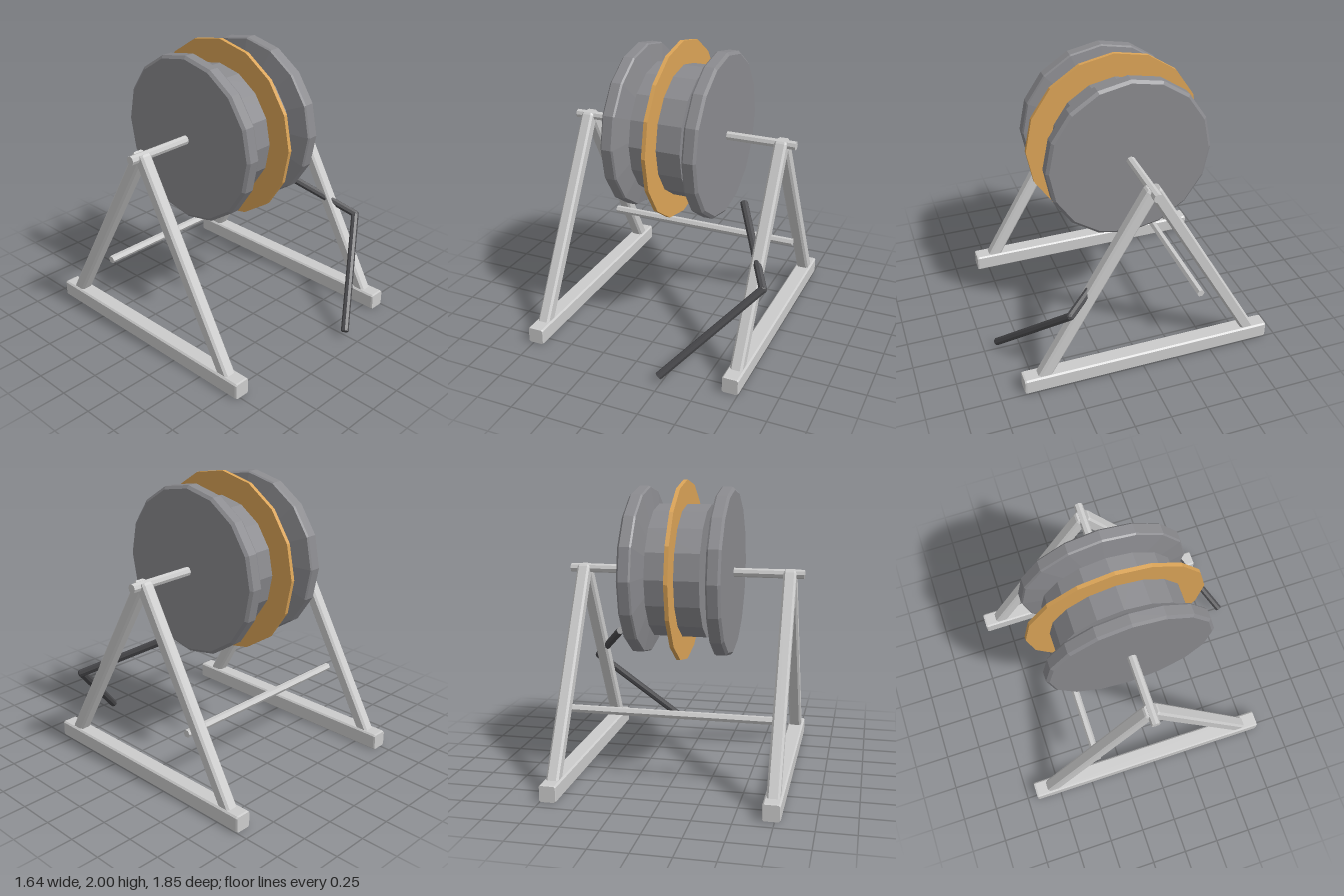
import * as THREE from 'three';

const paint = (color) => new THREE.MeshStandardMaterial({ color, flatShading: true });
const grey = paint(0xcccccc), drumGrey = paint(0x8a8a8e), darkGrey = paint(0x4c4c4f), amber = paint(0xdba457);

const AXLE_Y = 1.385, AXLE_Z = -0.05, MID_X = -0.018;

// Bar with chamfered edges, centred, running along z
function chamferedBar(w, h, length, c) {
  const x = w / 2 - c, y = h / 2 - c, s = new THREE.Shape();
  const k = c * 0.3;
  s.moveTo(-x, -y - c + k).lineTo(x, -y - c + k).lineTo(x + c - k, -y).lineTo(x + c - k, y)
    .lineTo(x, y + c - k).lineTo(-x, y + c - k).lineTo(-x - c + k, y).lineTo(-x - c + k, -y).closePath();
  const g = new THREE.ExtrudeGeometry(s, {
    depth: length - 2 * c, bevelEnabled: true, bevelThickness: c, bevelSize: k, bevelSegments: 1,
  });
  return g.translate(0, 0, -length / 2 + c);
}

export function createModel() {
  const model = new THREE.Group();
  model.name = 'cableReelStand';

  function add(parent, name, geometry, material, x = 0, y = 0, z = 0) {
    const mesh = new THREE.Mesh(geometry, material);
    mesh.name = name;
    mesh.position.set(x, y, z);
    parent.add(mesh);
    return mesh;
  }
  // Cylinder lying along x
  const rod = (r, length, sides) => new THREE.CylinderGeometry(r, r, length, sides).rotateZ(-Math.PI / 2);

  // Two A-frames: a foot and a pair of leaning legs
  for (const [side, x] of [['right', -0.73], ['left', 0.697]]) {
    const frame = new THREE.Group();
    frame.name = side + 'Frame';
    model.add(frame);
    add(frame, 'foot', chamferedBar(0.114, 0.115, 1.76, 0.012), grey, x, 0.0575, -0.045);
    for (const dir of [1, -1]) {
      const top = new THREE.Vector3(x, 1.395, AXLE_Z + dir * 0.005);
      const bottom = new THREE.Vector3(x, 0.06, AXLE_Z + dir * 0.768);
      const leg = add(frame, dir > 0 ? 'frontLeg' : 'backLeg',
        chamferedBar(0.086, 0.086, top.distanceTo(bottom), 0.016), grey);
      leg.position.copy(top).lerp(bottom, 0.5);
      leg.lookAt(bottom);
    }
  }

  // Axle and rear cross bar
  add(model, 'axle', rod(0.031, 1.62, 8), grey, -0.016, AXLE_Y, AXLE_Z);
  add(model, 'crossBar', rod(0.027, 1.43, 6), grey, -0.016, 0.48, -0.427);

  // Reel: core, thin centre disc and two dished flanges
  const reel = new THREE.Group();
  reel.name = 'reel';
  reel.position.set(MID_X, AXLE_Y, AXLE_Z);
  model.add(reel);
  add(reel, 'core', rod(0.453, 0.36, 16), drumGrey);
  add(reel, 'centreDisc', rod(0.615, 0.027, 16), amber);
  const profile = [[0, -0.334], [0.55, -0.334], [0.57, -0.318], [0.57, -0.252], [0.562, -0.24],
    [0.24, -0.187], [0.235, -0.17]].map(([r, y]) => new THREE.Vector2(r, y));
  const flange = new THREE.LatheGeometry(profile, 16).rotateZ(-Math.PI / 2);
  add(reel, 'rightFlange', flange, drumGrey);
  add(reel, 'leftFlange', flange, drumGrey).rotation.y = Math.PI;

  // Bent loose rod
  const bend = [[0.465, 0.935, 0], [0.79, 0.62, 0.525], [0.235, 0.05, 0.9]]
    .map((p) => new THREE.Vector3(...p));
  const bentRod = new THREE.Group();
  bentRod.name = 'bentRod';
  model.add(bentRod);
  for (let i = 0; i < 2; i++) {
    const a = bend[i], b = bend[i + 1];
    const g = new THREE.CylinderGeometry(0.027, 0.027, a.distanceTo(b) + 0.01, 8).rotateX(Math.PI / 2);
    const part = add(bentRod, i ? 'lowerRod' : 'upperRod', g, darkGrey);
    part.position.copy(a).lerp(b, 0.5);
    part.lookAt(b);
  }
  add(bentRod, 'elbow', new THREE.SphereGeometry(0.027, 8, 6), darkGrey, ...bend[1].toArray());

  return model;
}
